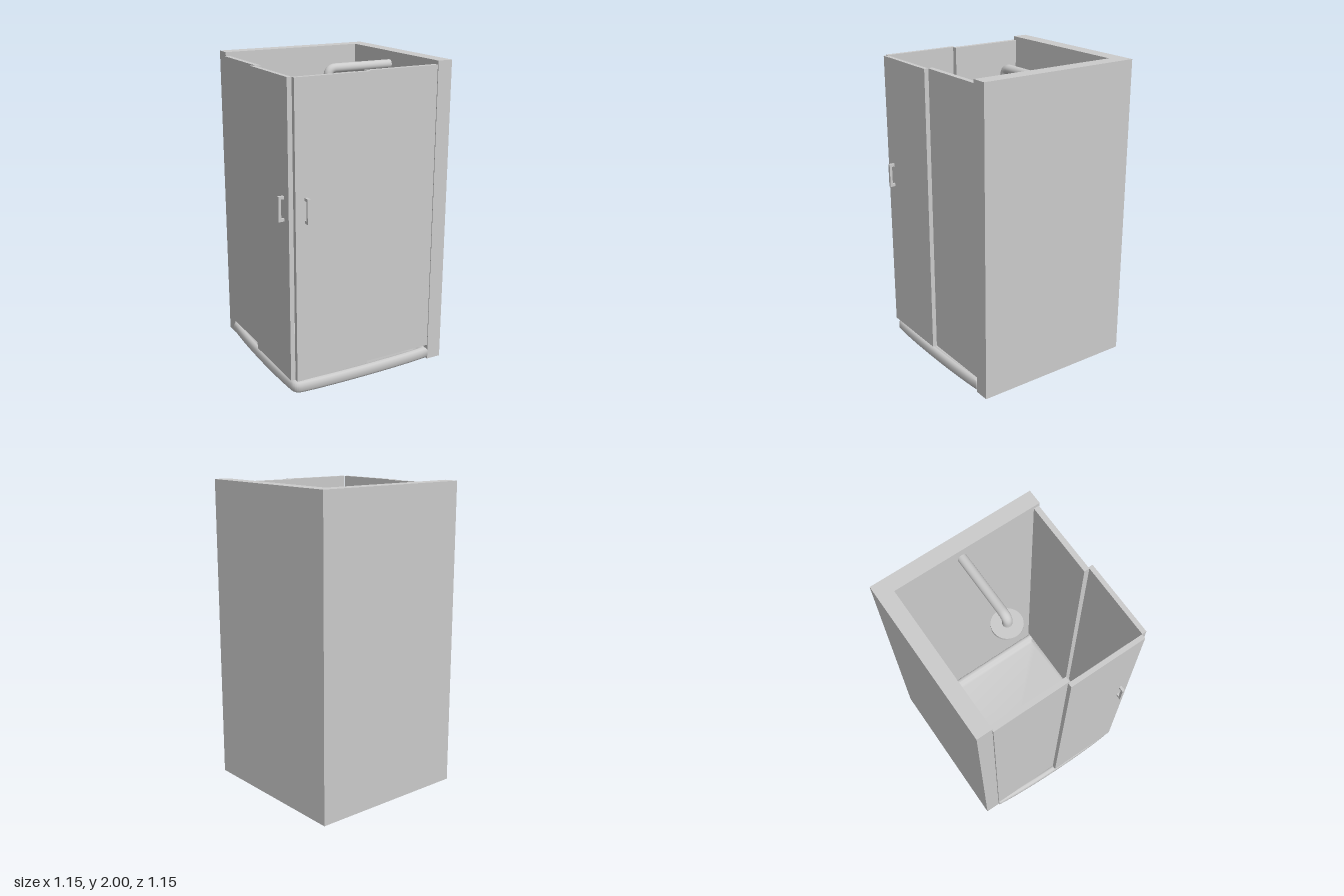
import * as THREE from 'three';
import { toCreasedNormals } from 'three/addons/utils/BufferGeometryUtils.js';

const material = new THREE.MeshStandardMaterial({ color: 0xcccccc });

function add(parent, name, geometry) {
  const mesh = new THREE.Mesh(geometry, material);
  mesh.name = name;
  parent.add(mesh);
  return mesh;
}

// Box given by its extents on each axis
function block(parent, name, [x0, x1], [y0, y1], [z0, z1]) {
  const mesh = add(parent, name, new THREE.BoxGeometry(x1 - x0, y1 - y0, z1 - z0));
  mesh.position.set((x0 + x1) / 2, (y0 + y1) / 2, (z0 + z1) / 2);
  return mesh;
}

// Shower tray: outline (x, z) with two bowed sides, lofted through a rim profile
function trayGeometry() {
  const outline = new THREE.Path();
  outline.moveTo(-0.512, -0.48);
  outline.lineTo(0.475, -0.48);
  outline.lineTo(0.475, 0.52);
  outline.bezierCurveTo(0.2, 0.547, -0.3, 0.547, -0.48, 0.53);
  outline.quadraticCurveTo(-0.525, 0.525, -0.53, 0.48);
  outline.bezierCurveTo(-0.547, 0.3, -0.547, -0.2, -0.512, -0.48);
  const points = outline.getPoints(16);
  const cx = -0.03, cz = 0.03, half = 0.51;

  // [inset, height] from underside centre, round the rim, to basin centre
  const profile = [
    [half, 0], [0.035, 0], [0.012, 0.008], [0, 0.025], [0, 0.06], [0.007, 0.077],
    [0.02, 0.085], [0.032, 0.082], [0.045, 0.068], [0.056, 0.053], [0.07, 0.046], [half, 0.042],
  ];
  const positions = [], indices = [], n = points.length;
  profile.forEach(([inset, y], i) => {
    const s = 1 - inset / half;
    points.forEach((p, j) => {
      positions.push(cx + (p.x - cx) * s, y, cz + (p.y - cz) * s);
      if (i < profile.length - 1 && j < n - 1) {
        const a = i * n + j, b = a + 1, c = a + n, d = c + 1;
        if (i > 0) indices.push(a, c, b);
        if (i < profile.length - 2) indices.push(b, c, d);
        if (i === 0) indices.push(b, c, d);
      }
    });
  });
  const geometry = new THREE.BufferGeometry();
  geometry.setAttribute('position', new THREE.Float32BufferAttribute(positions, 3));
  geometry.setIndex(indices);
  return toCreasedNormals(geometry, 0.9);
}

// Square-section pull handle, standing out along +z from its origin
function handle(name) {
  const group = new THREE.Group();
  group.name = name;
  const w = [-0.009, 0.009];
  block(group, 'handleBar', w, [1.12, 1.275], [0.02, 0.037]);
  for (const y of [1.12, 1.257]) block(group, 'handlePost', w, [y, y + 0.018], [0, 0.02]);
  return group;
}

export function createModel() {
  const model = new THREE.Group();
  model.name = 'showerCabin';

  // Corner walls in one L-shaped piece
  const plan = new THREE.Shape([
    [-0.5, 0.58], [-0.5, 0.48], [0.475, 0.48], [0.475, -0.515], [0.575, -0.515], [0.575, 0.58],
  ].map(([x, y]) => new THREE.Vector2(x, y)));
  const walls = new THREE.ExtrudeGeometry(plan, { depth: 2, bevelEnabled: false });
  add(model, 'cornerWalls', walls.rotateX(-Math.PI / 2));

  // Tray and drain
  add(model, 'tray', trayGeometry());
  const drain = add(model, 'drain', new THREE.CylinderGeometry(0.037, 0.037, 0.008, 32));
  drain.position.set(0.327, 0.045, -0.327);

  // Sliding doors outside, fixed panels inside
  const height = [0.1, 1.975];
  block(model, 'frontDoor', [-0.512, -0.013], height, [0.509, 0.538]);
  block(model, 'frontFixedPanel', [-0.022, 0.475], height, [0.474, 0.509]);
  block(model, 'sideDoor', [-0.541, -0.512], height, [0.005, 0.507]);
  block(model, 'sideFixedPanel', [-0.509, -0.475], height, [-0.48, 0.017]);

  // Door handles
  const frontHandle = handle('frontHandle');
  frontHandle.position.set(-0.443, 0, 0.538);
  const sideHandle = handle('sideHandle');
  sideHandle.rotation.y = -Math.PI / 2;
  sideHandle.position.set(-0.541, 0, 0.44);
  model.add(frontHandle, sideHandle);

  // Shower arm bending down to a round head
  const v = (x, y) => new THREE.Vector3(x, y, -0.032);
  const arm = new THREE.CurvePath();
  arm.add(new THREE.LineCurve3(v(0.48, 1.915), v(0.065, 1.915)));
  arm.add(new THREE.QuadraticBezierCurve3(v(0.065, 1.915), v(0.015, 1.915), v(0.015, 1.87)));
  arm.add(new THREE.LineCurve3(v(0.015, 1.87), v(0.015, 1.835)));
  add(model, 'showerArm', new THREE.TubeGeometry(arm, 64, 0.03, 24));
  const head = add(model, 'showerHead', new THREE.CylinderGeometry(0.095, 0.095, 0.018, 48));
  head.position.set(0.012, 1.833, -0.035);

  return model;
}
